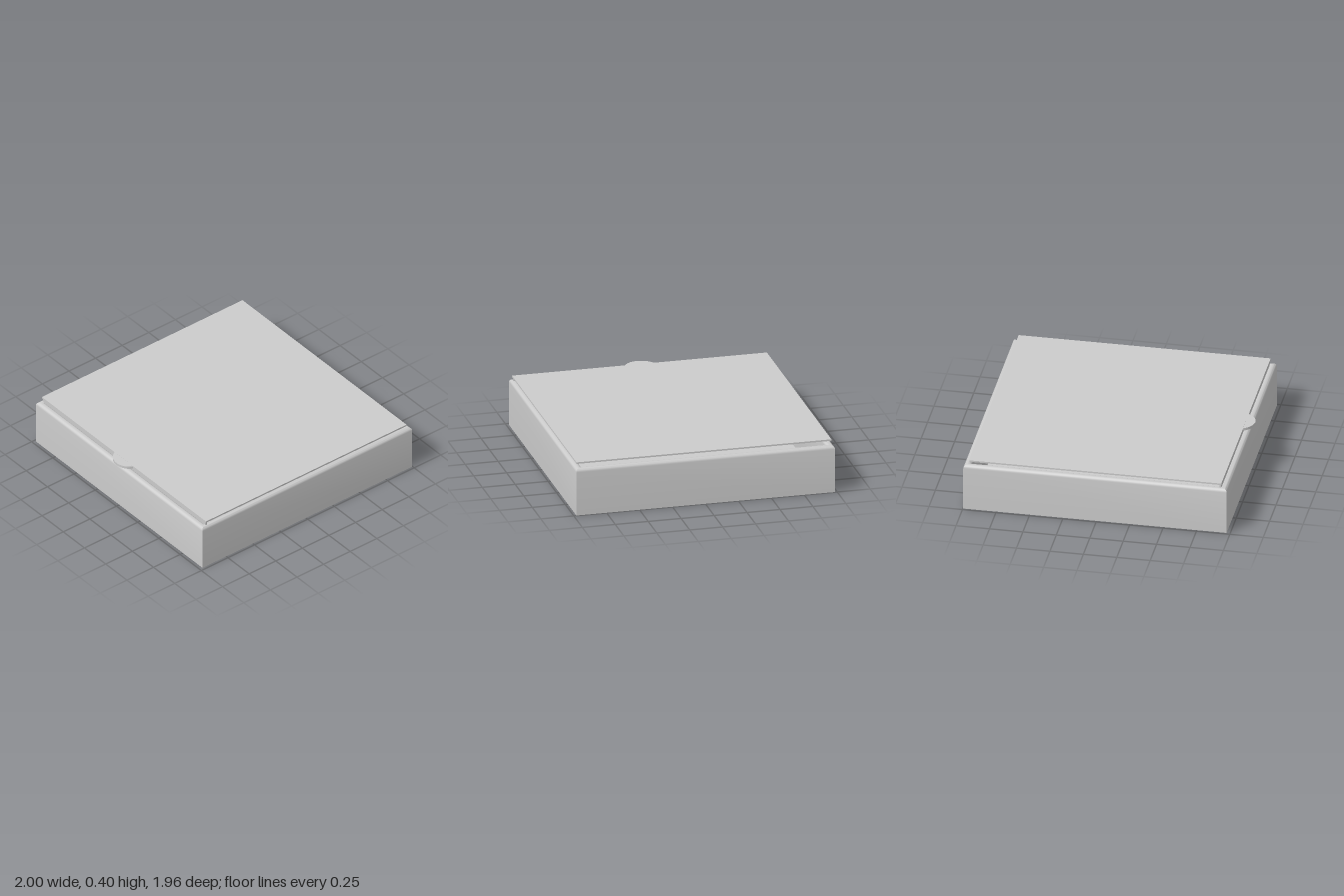
import * as THREE from 'three';
import { toCreasedNormals } from 'three/addons/utils/BufferGeometryUtils.js';

const material = new THREE.MeshStandardMaterial({ color: 0xcccccc, side: THREE.DoubleSide });

function addPart(group, name, geometry, x = 0, y = 0, z = 0) {
  const mesh = new THREE.Mesh(geometry, material);
  mesh.name = name;
  mesh.position.set(x, y, z);
  group.add(mesh);
  return mesh;
}

// Tray with folded double walls: one section swept round four mitred corners
function trayGeometry() {
  const half = 0.982, top = 0.363, wall = 0.055, r = 0.027, floor = 0.01;
  const profile = [new THREE.Vector2(0, 0), new THREE.Vector2(half, 0)];
  for (let i = 0; i <= 10; i++) {
    const a = (i / 10) * Math.PI;
    profile.push(new THREE.Vector2(half - wall / 2 + (wall / 2) * Math.cos(a), top - r + r * Math.sin(a)));
  }
  profile.push(new THREE.Vector2(half - wall, floor), new THREE.Vector2(0, floor));
  profile.forEach((p) => (p.x *= Math.SQRT2));
  return toCreasedNormals(new THREE.LatheGeometry(profile, 4, Math.PI / 4), 0.6);
}

// Flat sheet drawn in plan and given a thickness upwards
function sheetGeometry(shape, thickness) {
  const g = new THREE.ExtrudeGeometry(shape, { depth: thickness, bevelEnabled: false, curveSegments: 24 });
  g.rotateX(-Math.PI / 2);
  return toCreasedNormals(g, 0.5);
}

export function createModel() {
  const model = new THREE.Group();
  model.name = 'flatBox';

  const tray = addPart(model, 'tray', trayGeometry(), 0.012, 0, -0.002);
  tray.scale.set(1.003, 1, 1);

  const lid = new THREE.Group();
  lid.name = 'lid';
  model.add(lid);

  const left = -0.93, right = 0.955, halfZ = 0.967;

  // Lid panel
  const panel = new THREE.Shape();
  panel.moveTo(left, -halfZ);
  panel.lineTo(right, -halfZ);
  panel.lineTo(right, halfZ);
  panel.lineTo(left, halfZ);
  panel.closePath();
  addPart(lid, 'lidPanel', sheetGeometry(panel, 0.012), 0, 0.388, 0);

  // Tuck flap hanging under the opening edge
  addPart(lid, 'tuckFlap', new THREE.BoxGeometry(0.01, 0.05, 1.92), left + 0.008, 0.37, 0);

  // Rounded pull tab
  const tab = new THREE.Shape();
  const radius = 0.121, cx = -1 + radius, reach = Math.acos((cx - left) / radius);
  tab.absarc(cx, 0, radius, Math.PI - reach, Math.PI + reach, false);
  tab.closePath();
  addPart(lid, 'pullTab', sheetGeometry(tab, 0.02), 0, 0.379, 0);

  return model;
}
